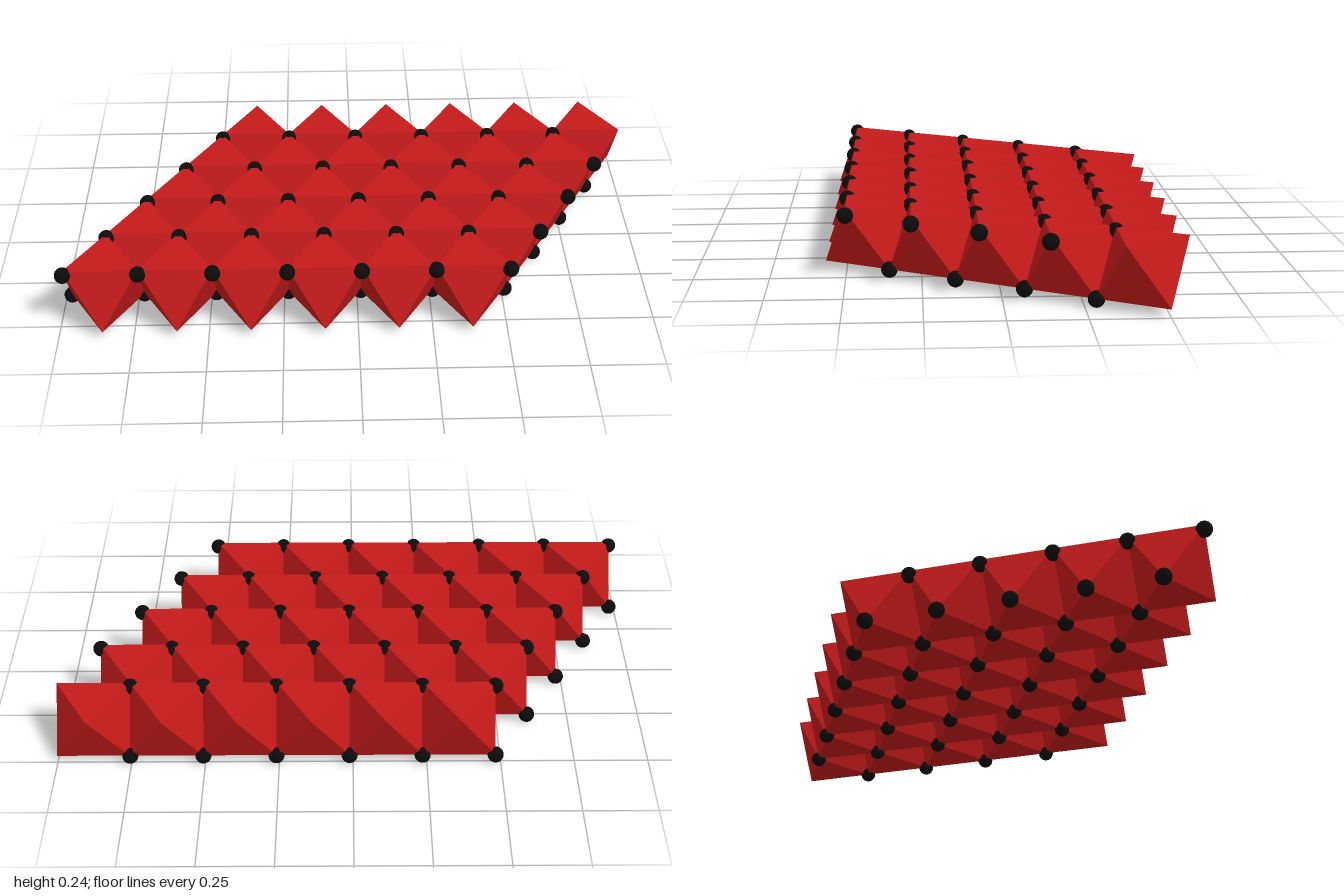
import * as THREE from 'three';
import { ConvexGeometry } from 'three/addons/geometries/ConvexGeometry.js';

const EDGE = 0.247;                        // octahedron edge and column spacing
const PITCH = EDGE * Math.sqrt(3) / 2;     // spacing between rows
const RADIUS = EDGE / Math.sqrt(3);        // circumradius of each triangular face
const BOTTOM = 0.028, TOP = 0.2285;
const ROWS = 5, COLUMNS = 6;

// Triangle in a horizontal plane; dir = -1 points to the back, +1 to the front
function triangle(y, dir) {
  return [
    new THREE.Vector3(0, y, dir * RADIUS),
    new THREE.Vector3(EDGE / 2, y, -dir * RADIUS / 2),
    new THREE.Vector3(-EDGE / 2, y, -dir * RADIUS / 2),
  ];
}

export function createModel() {
  const model = new THREE.Group();
  model.name = 'octahedralLayer';

  const red = new THREE.MeshStandardMaterial({ color: 0xc41a1a, flatShading: true });
  const black = new THREE.MeshStandardMaterial({ color: 0x0b0b0b });

  // Octahedron lying on one of its faces
  const octahedronGeometry = new ConvexGeometry([...triangle(TOP, -1), ...triangle(BOTTOM, 1)]);
  const atomGeometry = new THREE.SphereGeometry(0.0272, 24, 16);

  function add(parent, name, geometry, material, x, y, z) {
    const mesh = new THREE.Mesh(geometry, material);
    mesh.name = name;
    mesh.position.set(x, y, z);
    parent.add(mesh);
  }

  for (let r = 0; r < ROWS; r++) {
    const row = new THREE.Group();
    row.name = `row${r + 1}`;
    model.add(row);
    const z = (r - (ROWS - 1) / 2) * PITCH;
    const left = 1 - EDGE * (COLUMNS + r / 2);   // each row steps half a cell sideways

    for (let c = 0; c < COLUMNS; c++) {
      add(row, 'octahedron', octahedronGeometry, red, left + (c + 0.5) * EDGE, 0, z);
    }

    // Corner atoms along the row; the rearmost row has none at its right end
    const atoms = r === 0 ? COLUMNS : COLUMNS + 1;
    for (let c = 0; c < atoms; c++) {
      add(row, 'upperAtom', atomGeometry, black, left + c * EDGE, 0.212, z + RADIUS / 2);
      add(row, 'lowerAtom', atomGeometry, black, left + c * EDGE, 0.0275, z - RADIUS / 2);
    }
  }
  return model;
}
